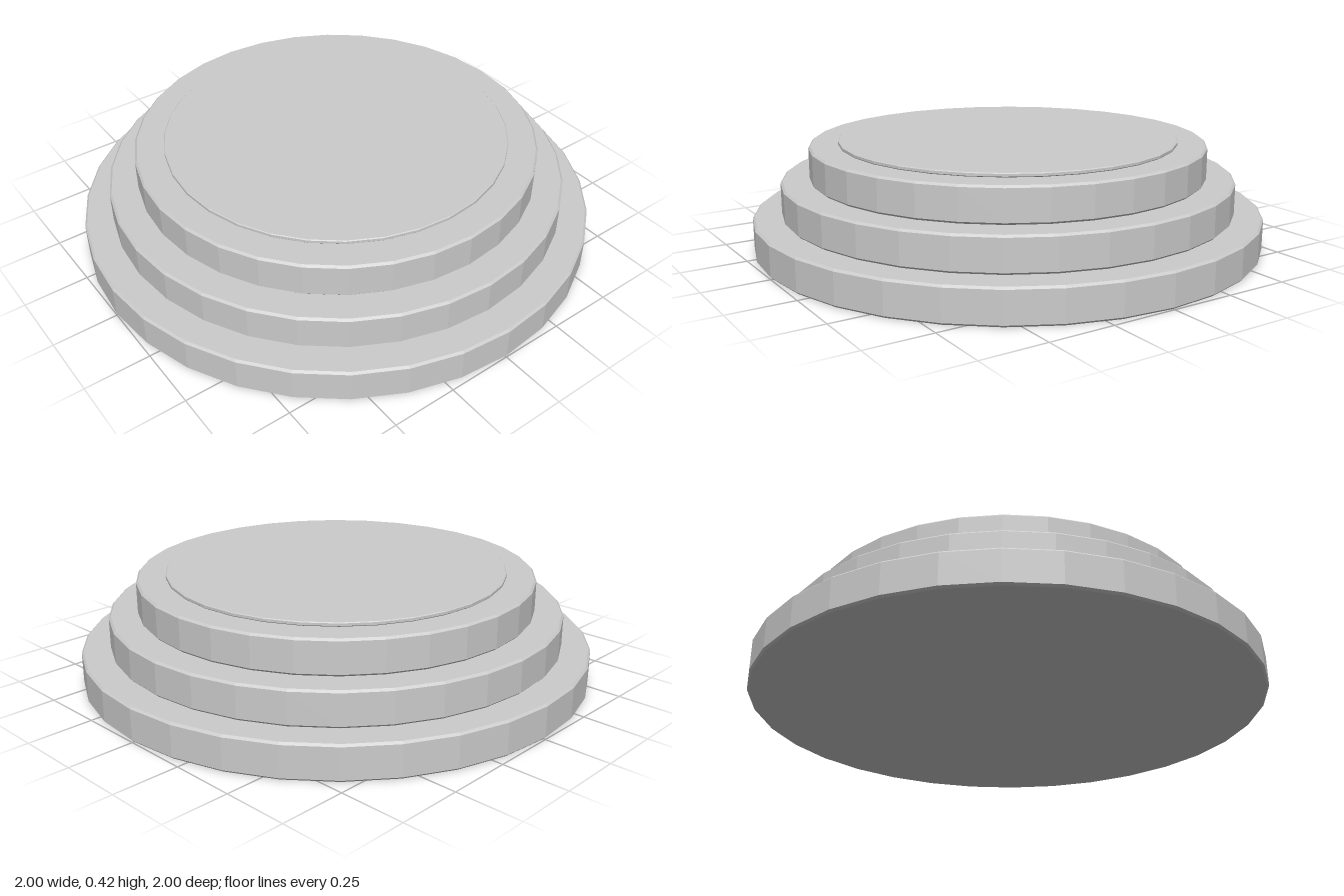
import * as THREE from 'three';

const SIDES = 32;
const material = new THREE.MeshStandardMaterial({ color: 0xcccccc, flatShading: true });

// Solid faceted disc with a small chamfer on its bottom and top rims
function chamferedDisc(name, radius, bottom, top, chamfer) {
  const profile = [
    [0, bottom],
    [radius - chamfer, bottom],
    [radius, bottom + chamfer],
    [radius, top - chamfer],
    [radius - chamfer, top],
    [0, top],
  ].map(([r, y]) => new THREE.Vector2(r, y));
  const mesh = new THREE.Mesh(new THREE.LatheGeometry(profile, SIDES), material);
  mesh.name = name;
  return mesh;
}

export function createModel() {
  const group = new THREE.Group();
  group.name = 'steppedRoundPlinth';

  // Three stacked steps, each narrower than the one below
  const stepHeight = 0.1335;
  ['lowerStep', 'middleStep', 'upperStep'].forEach((name, i) => {
    const radius = 1 - i * 0.111;
    group.add(chamferedDisc(name, radius, i * stepHeight, (i + 1) * stepHeight, 0.008));
  });

  // Thin inlay disc on the top step
  group.add(chamferedDisc('topInlay', 0.665, 3 * stepHeight, 0.416, 0.003));

  return group;
}
